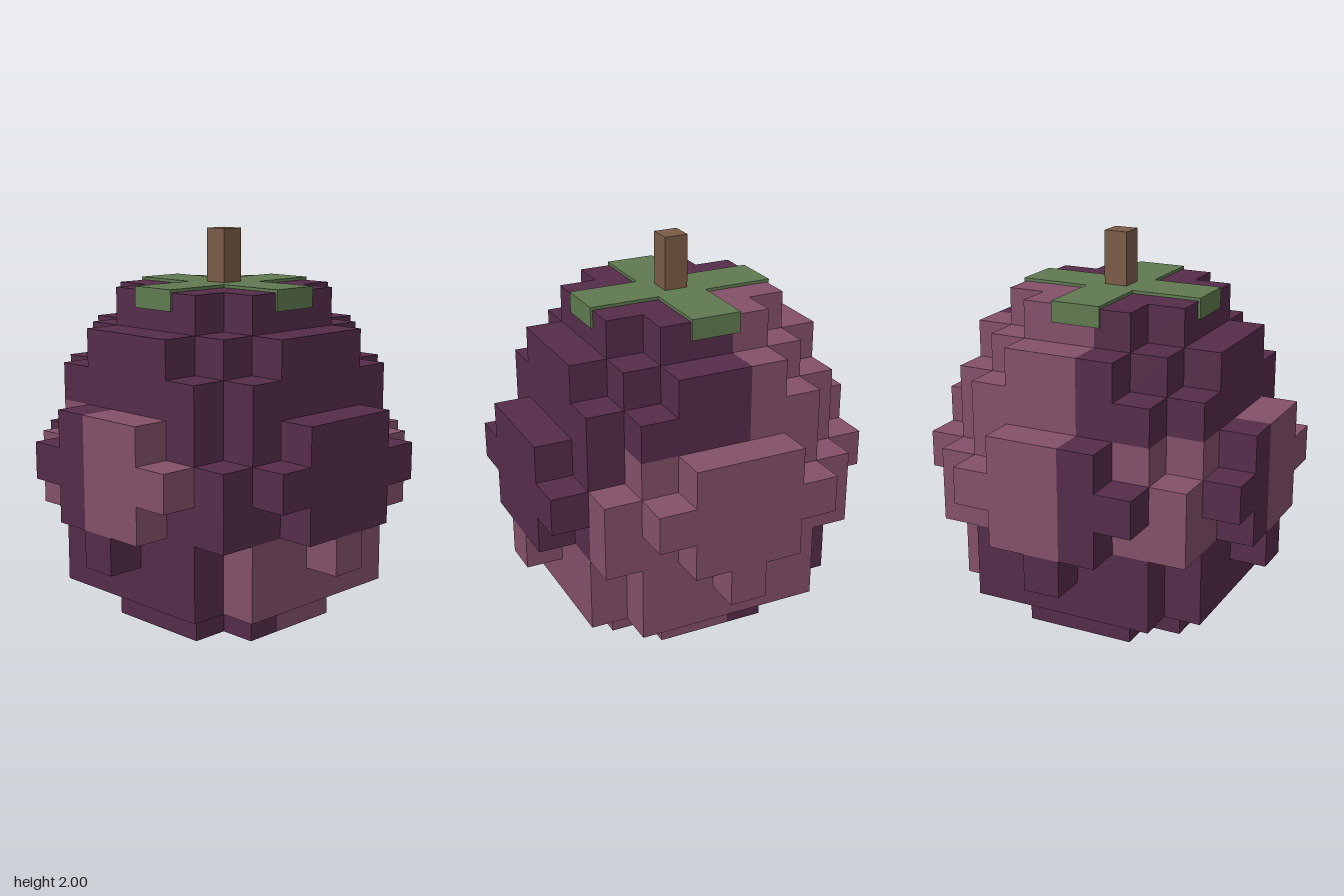
import * as THREE from 'three';
import { mergeGeometries } from 'three/addons/utils/BufferGeometryUtils.js';

const material = (name, color) => Object.assign(new THREE.MeshStandardMaterial({ color }), { name });

const N = 9;            // cells along each side of the fruit
const S = 1.714 / N;    // cell size
const MID = 4;

// Footprint of each layer, bottom to top: for every |z| from 0 to 4, the largest |x| (-1 = none)
const small = [2, 2, 1, -1, -1];
const disc = [3, 3, 2, 1, -1];
const round = [3, 3, 3, 2, -1];
const LAYERS = [
  small,
  round,
  [4, 3, 3, 2, 0],
  [4, 4, 3, 3, 1],
  [4, 4, 4, 3, 2],
  [4, 4, 3, 2, 1],
  round,
  disc,
  small,
];

const filled = (x, y, z) => {
  const az = Math.abs(z);
  return y >= 0 && y < N && az <= MID && Math.abs(x) <= LAYERS[y][az];
};

// Blotches of lighter skin, set by blocks of cells
function isLight(x, y, z) {
  if (y >= 6) return x <= -1 && z <= 0;
  if (y >= 3) {
    if (z <= -3) return true;
    if (z === 4) return x >= 0;
    if (x === -4) return z <= 0;
    return x <= -1;
  }
  if (y >= 1) {
    if (x >= 3) return z <= 2;
    if (z <= -3) return x >= -2;
  }
  return x >= 0 && z <= 0;
}

// The six face directions, each with the turn that points a plane that way
const H = Math.PI / 2;
const FACES = [
  [1, 0, 0, 0, H], [-1, 0, 0, 0, -H],
  [0, 1, 0, -H, 0], [0, -1, 0, H, 0],
  [0, 0, 1, 0, 0], [0, 0, -1, 0, 2 * H],
];

// Exposed cell faces of one skin tone
function skinGeometry(light) {
  const quads = [];
  for (let y = 0; y < N; y++)
    for (let z = -MID; z <= MID; z++)
      for (let x = -MID; x <= MID; x++) {
        if (!filled(x, y, z) || isLight(x, y, z) !== light) continue;
        for (const [dx, dy, dz, rx, ry] of FACES) {
          if (filled(x + dx, y + dy, z + dz)) continue;
          quads.push(new THREE.PlaneGeometry(S, S).rotateX(rx).rotateY(ry)
            .translate((x + dx / 2) * S, (y + 0.5 + dy / 2) * S, (z + dz / 2) * S));
        }
      }
  return mergeGeometries(quads);
}

export function createModel() {
  const model = new THREE.Group();
  model.name = 'fruit';
  const darkSkin = material('dark purple skin', 0x552c4a);
  const lightSkin = material('light mauve skin', 0x845068);
  const green = material('leaf green', 0x5f7a50);
  const brown = material('stem brown', 0x7a5c46);

  const add = (parent, name, geometry, mat) => {
    const mesh = new THREE.Mesh(geometry, mat);
    mesh.name = name;
    parent.add(mesh);
    return mesh;
  };
  const box = (parent, name, mat, w, h, d, x, y, z) =>
    add(parent, name, new THREE.BoxGeometry(w, h, d).translate(x, y, z), mat);

  add(model, 'skin', skinGeometry(false), darkSkin);
  add(model, 'skinBlotches', skinGeometry(true), lightSkin);

  // Cross-shaped calyx: four leaves with tips folded down over the top layer
  const calyx = new THREE.Group();
  calyx.name = 'calyx';
  const W = 0.256, R = 0.488, TOP = 1.73, T = 0.015;
  box(calyx, 'calyxCentre', green, W, T, W, 0, TOP - T / 2, 0);
  for (let i = 0; i < 4; i++) {
    const leaf = new THREE.Group();
    leaf.name = 'leaf';
    leaf.rotation.y = i * H;
    const length = R - W / 2;
    box(leaf, 'leafBlade', green, W, T, length, 0, TOP - T / 2, W / 2 + length / 2);
    box(leaf, 'leafTip', green, W, 0.105, 0.012, 0, TOP - 0.0525, R - 0.006);
    calyx.add(leaf);
  }
  model.add(calyx);

  // Stem
  box(model, 'stem', brown, 0.122, 2 - TOP, 0.122, 0, (2 + TOP) / 2, 0);

  return model;
}
